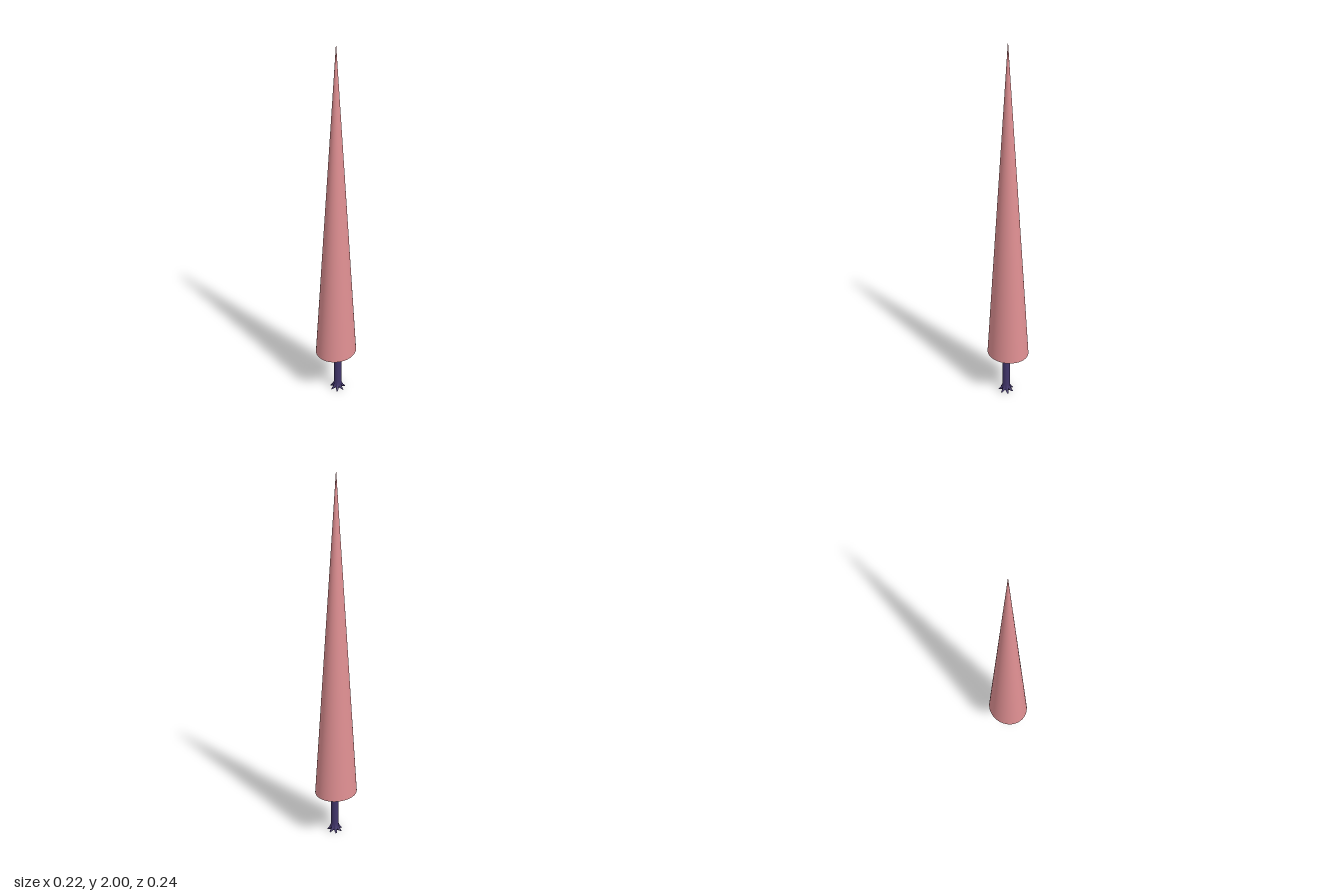
import * as THREE from 'three';

export function createModel() {
  const foliageMat = new THREE.MeshStandardMaterial({ color: 0xdf8f92 });
  foliageMat.name = 'dusty pink';
  const barkMat = new THREE.MeshStandardMaterial({ color: 0x41356a });
  barkMat.name = 'dark purple';

  const tree = new THREE.Group();
  tree.name = 'tree';

  // Tall cone crown, slightly oval, with a closed underside
  const crown = new THREE.Mesh(new THREE.ConeGeometry(1, 1.74, 64, 12), foliageMat);
  crown.name = 'crown';
  crown.scale.set(0.108, 1, 0.118);
  crown.position.y = 1.13;
  tree.add(crown);

  // Slim trunk whose foot spreads into seven pointed roots
  const height = 0.3, sides = 42, roots = 7;
  const geo = new THREE.CylinderGeometry(0.021, 0.021, height, sides, 24);
  geo.translate(0, height / 2, 0);
  const pos = geo.attributes.position;
  for (let i = 0; i < pos.count; i++) {
    const x = pos.getX(i), y = pos.getY(i), z = pos.getZ(i);
    if (y > 0.051 || Math.hypot(x, z) < 0.001) continue;
    const lobe = Math.pow(0.5 + 0.5 * Math.cos(roots * Math.atan2(z, x)), 1.5);
    const flare = Math.pow(1 - y / 0.051, 2);
    const grow = 1 + flare * (0.1 + 1.05 * lobe);
    // Gaps between roots lift a little off the ground
    pos.setXYZ(i, x * grow, y + 0.012 * flare * (1 - lobe), z * grow);
  }
  geo.computeVertexNormals();
  const trunk = new THREE.Mesh(geo, barkMat);
  trunk.name = 'trunkWithRoots';
  trunk.position.set(0.014, 0, 0.002);
  tree.add(trunk);

  return tree;
}
